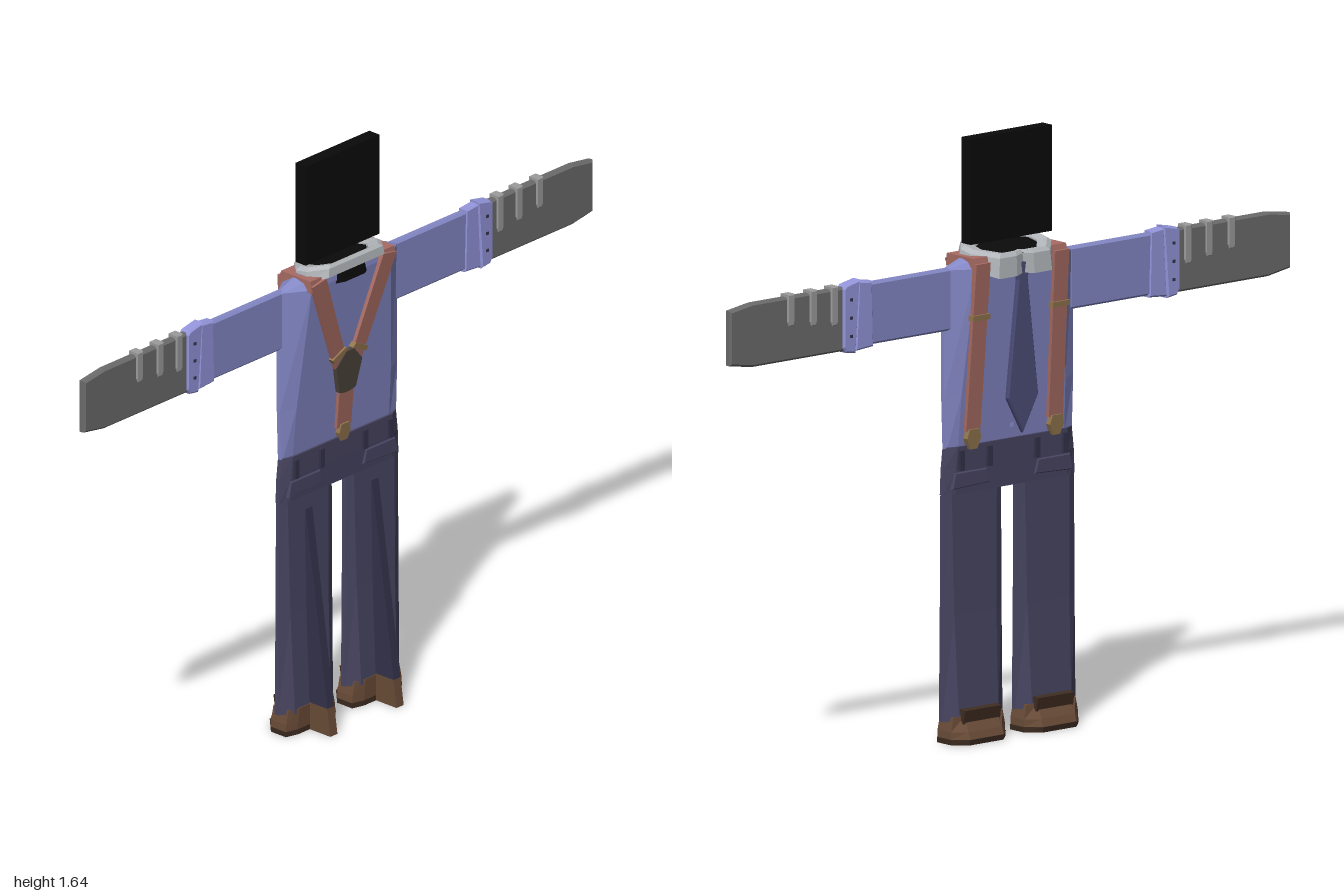
import * as THREE from 'three';

const mat = (color) => new THREE.MeshStandardMaterial({ color, flatShading: true });
const SHIRT = mat(0x8488c6), CUFF = mat(0x9496dc), PANTS = mat(0x494663), DARK = mat(0x34324a);
const STRAP = mat(0xa86c64), PATCH = mat(0x4f463f), METAL = mat(0x94764f), TIE = mat(0x4c4c78);
const HAND = mat(0x6c6c6c), FINGER = mat(0x9c9c9c), SHOE = mat(0x6a4c38), SOLE = mat(0x3f2d22);
const BLACK = mat(0x0a0a0a), COLLAR = mat(0xb4b8bc);

// Polygon in xy, given thickness from z0 to z1 with chamfered rims
function slab(pts, z0, z1, bevel = 0) {
  const shape = new THREE.Shape(pts.map(([x, y]) => new THREE.Vector2(x, y)));
  const g = new THREE.ExtrudeGeometry(shape, {
    depth: z1 - z0 - 2 * bevel, bevelEnabled: bevel > 0, bevelThickness: bevel,
    bevelSize: bevel, bevelOffset: -bevel, bevelSegments: 1,
  });
  return g.translate(0, 0, z0 + bevel);
}

// Polygon in zy, thickened along x around xc
function sideSlab(pts, xc, width) {
  return slab(pts, -width / 2, width / 2).rotateY(-Math.PI / 2).translate(xc, 0, 0);
}

// Skin through rings of [x, y, z] that run anticlockwise seen from above
function loft(rings, capped = true) {
  const pos = [];
  const tri = (...p) => p.forEach((v) => pos.push(...v));
  const n = rings[0].length;
  for (let r = 0; r + 1 < rings.length; r++) {
    for (let i = 0; i < n; i++) {
      const j = (i + 1) % n, [p, q] = [rings[r], rings[r + 1]];
      tri(p[i], p[j], q[j]);
      tri(p[i], q[j], q[i]);
    }
  }
  if (capped) {
    const last = rings[rings.length - 1];
    for (let i = 1; i + 1 < n; i++) {
      tri(rings[0][0], rings[0][i + 1], rings[0][i]);
      tri(last[0], last[i], last[i + 1]);
    }
  }
  const g = new THREE.BufferGeometry();
  g.setAttribute('position', new THREE.Float32BufferAttribute(pos, 3));
  g.computeVertexNormals();
  return g;
}

// Flattened octagonal section: half width, half flat panel, front and back depth
function section(xc, y, w, flat, zLow, zHigh, edge = 0.006) {
  const m = -0.015;
  return [[w, m - edge], [flat, zLow], [-flat, zLow], [-w, m - edge],
    [-w, m + edge], [-flat, zHigh], [flat, zHigh], [w, m + edge]]
    .map(([x, z]) => [x + xc, y, z]);
}

const rect = (x0, x1, y0, y1) => [[x0, y0], [x1, y0], [x1, y1], [x0, y1]];

// Lean a piece so that it follows the tapering torso
function lean(g, slope) {
  const p = g.attributes.position;
  for (let i = 0; i < p.count; i++) p.setZ(i, p.getZ(i) + slope * (p.getY(i) - 0.8));
  g.computeVertexNormals();
  return g;
}
const onPlus = (pts, t = 0.01) => lean(slab(pts, -0.006, t - 0.004), 0.084);
const onMinus = (pts, t = 0.01) => lean(slab(pts, -0.03 - t, -0.026), -0.074);

export function createModel() {
  const model = new THREE.Group();
  const add = (name, geometry, material) => {
    const mesh = new THREE.Mesh(geometry, material);
    mesh.name = name;
    model.add(mesh);
    return mesh;
  };

  // Head and neck
  add('head', new THREE.BoxGeometry(0.29, 0.29, 0.038).translate(0, 1.5, -0.013), BLACK);
  const neck = new THREE.CylinderGeometry(1, 1, 0.06, 8).rotateY(Math.PI / 8);
  add('neck', neck.scale(0.1, 1, 0.065).rotateX(-0.2).translate(0, 1.305, -0.013), BLACK);

  // Folded collar: a tilted ring, deeper towards the tie
  const outer = [[0.145, -0.03], [0.09, -0.088], [0.03, -0.088], [0, -0.078], [-0.03, -0.088],
    [-0.09, -0.088], [-0.145, -0.03], [-0.145, 0.01], [-0.105, 0.055], [0.105, 0.055], [0.145, 0.01]];
  const ring = (k, y, slope) => outer.map(([x, z]) => {
    const zz = -0.013 + (z + 0.013) * k;
    return [x * k, y + slope * zz, zz];
  });
  const bottom = ring(1.04, 1.3, 0.4);
  add('collar', loft([bottom, ring(1, 1.336, 0.2), ring(0.9, 1.345, 0.2), ring(0.68, 1.34, 0.2),
    ring(0.68, 1.3, 0.3), bottom], false), COLLAR);

  // Shirt body
  add('torso', loft([
    section(0, 0.79, 0.225, 0.19, -0.03, -0.002),
    section(0, 0.95, 0.23, 0.185, -0.041, 0.01),
    section(0, 1.295, 0.23, 0.155, -0.066, 0.038),
    section(0, 1.325, 0.15, 0.12, -0.06, 0.035),
  ]), SHIRT);

  // Tie
  add('tie', slab([[-0.028, 1.3], [-0.018, 1.25], [-0.055, 0.93], [0, 0.83],
    [0.055, 0.93], [0.018, 1.25], [0.028, 1.3]], -0.082, -0.066, 0.004), TIE);
  for (let i = 0; i < 4; i++) {
    add('shirtButton', slab(rect(-0.005, 0.005, 0.84 + i * 0.1, 0.85 + i * 0.1),
      -0.036 - i * 0.0074, -0.03 - i * 0.0074), CUFF);
  }

  // Waistband and trousers seat
  add('waistband', loft([
    section(0, 0.68, 0.235, 0.2, -0.032, 0.002),
    section(0, 0.75, 0.232, 0.2, -0.035, 0.005),
    section(0, 0.81, 0.225, 0.195, -0.038, 0.006),
  ]), PANTS);

  // Suspender join on the plus z side
  add('suspenderPatch', onPlus([[-0.012, 0.945], [0.012, 0.945], [0.032, 0.95], [0.05, 1.03],
    [0.015, 1.07], [-0.015, 1.07], [-0.05, 1.03], [-0.032, 0.95]], 0.016), PATCH);
  add('suspenderTail', onPlus(rect(-0.028, 0.028, 0.84, 0.96), 0.012), STRAP);
  add('suspenderClip', onPlus([[-0.012, 0.8], [0.012, 0.8], [0.022, 0.825], [0.016, 0.85],
    [-0.016, 0.85], [-0.022, 0.825]], 0.017), METAL);

  for (const s of [1, -1]) {
    const flip = (pts) => pts.map(([x, y]) => [s * x, y]);

    // Suspender straps over the shoulder, with buckles and clips
    add('suspenderDiagonal', onPlus(flip([[0.165, 1.31], [0.112, 1.32], [0.012, 1.055],
      [0.05, 1.025]]), 0.012), STRAP);
    add('suspenderBuckle', onPlus(flip([[0.008, 1.075], [0.02, 1.085], [0.07, 1.06], [0.062, 1.048]]),
      0.018), METAL);
    add('suspenderShoulder', sideSlab([[-0.075, 1.29], [0.046, 1.29], [0.042, 1.325], [-0.066, 1.325]],
      s * 0.14, 0.05), STRAP);
    add('suspenderStrap', onMinus(flip([[0.115, 1.31], [0.165, 1.31], [0.172, 0.85], [0.122, 0.85]]),
      0.012), STRAP);
    add('strapBuckle', onMinus(flip(rect(0.112, 0.172, 1.155, 1.17)), 0.018), METAL);
    add('strapClip', onMinus(flip([[0.135, 0.8], [0.16, 0.8], [0.172, 0.83], [0.165, 0.855],
      [0.13, 0.855], [0.123, 0.83]]), 0.018), METAL);

    // Sleeve and two-part cuff
    add('sleeve', slab(flip(rect(0.21, 0.53, 1.13, 1.3)), -0.031, -0.006, 0.006), SHIRT);
    add('cuffFold', slab(flip([[0.49, 1.125], [0.555, 1.12], [0.545, 1.31], [0.495, 1.305]]),
      -0.034, -0.003, 0.005), CUFF);
    add('cuff', slab(flip([[0.555, 1.115], [0.59, 1.12], [0.6, 1.135], [0.6, 1.295], [0.59, 1.305],
      [0.54, 1.315]]), -0.036, -0.001, 0.005), CUFF);
    for (const y of [1.16, 1.21, 1.26]) {
      add('cuffButton', slab(flip(rect(0.57, 0.578, y, y + 0.008)), -0.039, 0.002), DARK);
    }

    // Flat hand with finger bands
    add('hand', slab(flip([[0.585, 1.125], [0.92, 1.125], [1, 1.138], [1, 1.288], [0.92, 1.3],
      [0.585, 1.3]]), -0.031, -0.006, 0.006), HAND);
    for (const [x, y] of [[0.63, 1.2], [0.705, 1.21], [0.785, 1.22]]) {
      add('fingerBand', slab(flip([[x - 0.008, y], [x + 0.008, y], [x + 0.013, y + 0.012],
        [x + 0.013, 1.307], [x - 0.013, 1.307], [x - 0.013, y + 0.012]]), -0.035, -0.002, 0.003), FINGER);
    }

    // Belt loops and pocket flaps on both sides
    for (const x of [0.085, 0.185]) {
      add('beltLoop', slab(flip(rect(x - 0.008, x + 0.008, 0.745, 0.8)), -0.045, 0.013), DARK);
    }
    add('pocketFlap', slab(flip([[0.08, 0.7], [0.215, 0.695], [0.205, 0.74], [0.09, 0.74]]),
      -0.039, 0.009, 0.003), PANTS);

    // Trouser leg, flaring towards the hem
    add('leg', loft([
      section(s * 0.13, 0.062, 0.108, 0.07, -0.048, 0.018),
      section(s * 0.13, 0.35, 0.105, 0.075, -0.034, 0.006),
      section(s * 0.13, 0.69, 0.103, 0.08, -0.03, 0),
    ]), PANTS);

    // Crease fin behind the leg, ending in a heel piece
    add('creaseFin', sideSlab([[-0.01, 0.075], [0.084, 0.075], [0.004, 0.64], [-0.01, 0.64]],
      s * 0.13, 0.026), DARK);
    add('heelFin', sideSlab([[-0.01, 0], [0.095, 0], [0.084, 0.078], [-0.01, 0.078]],
      s * 0.13, 0.028), SHOE);

    // Shoe with sole, sloping toe and raised tongue
    const shoeRing = (y, k, toe) => [[0.097, -0.045], [0.06, toe], [-0.06, toe], [-0.097, -0.045],
      [-0.097, 0.01], [-0.06, 0.02], [0.06, 0.02], [0.097, 0.01]]
      .map(([x, z]) => [s * 0.13 + x * k, y, z]);
    add('sole', loft([shoeRing(0, 1, -0.08), shoeRing(0.015, 1.02, -0.083)]), SOLE);
    add('shoe', loft([shoeRing(0.015, 1, -0.081), shoeRing(0.035, 0.99, -0.074),
      shoeRing(0.075, 0.9, -0.052)]), SHOE);
    add('shoeTongue', sideSlab([[-0.035, 0.05], [-0.06, 0.055], [-0.066, 0.092], [-0.045, 0.095]],
      s * 0.13, 0.13), SOLE);
  }
  return model;
}
